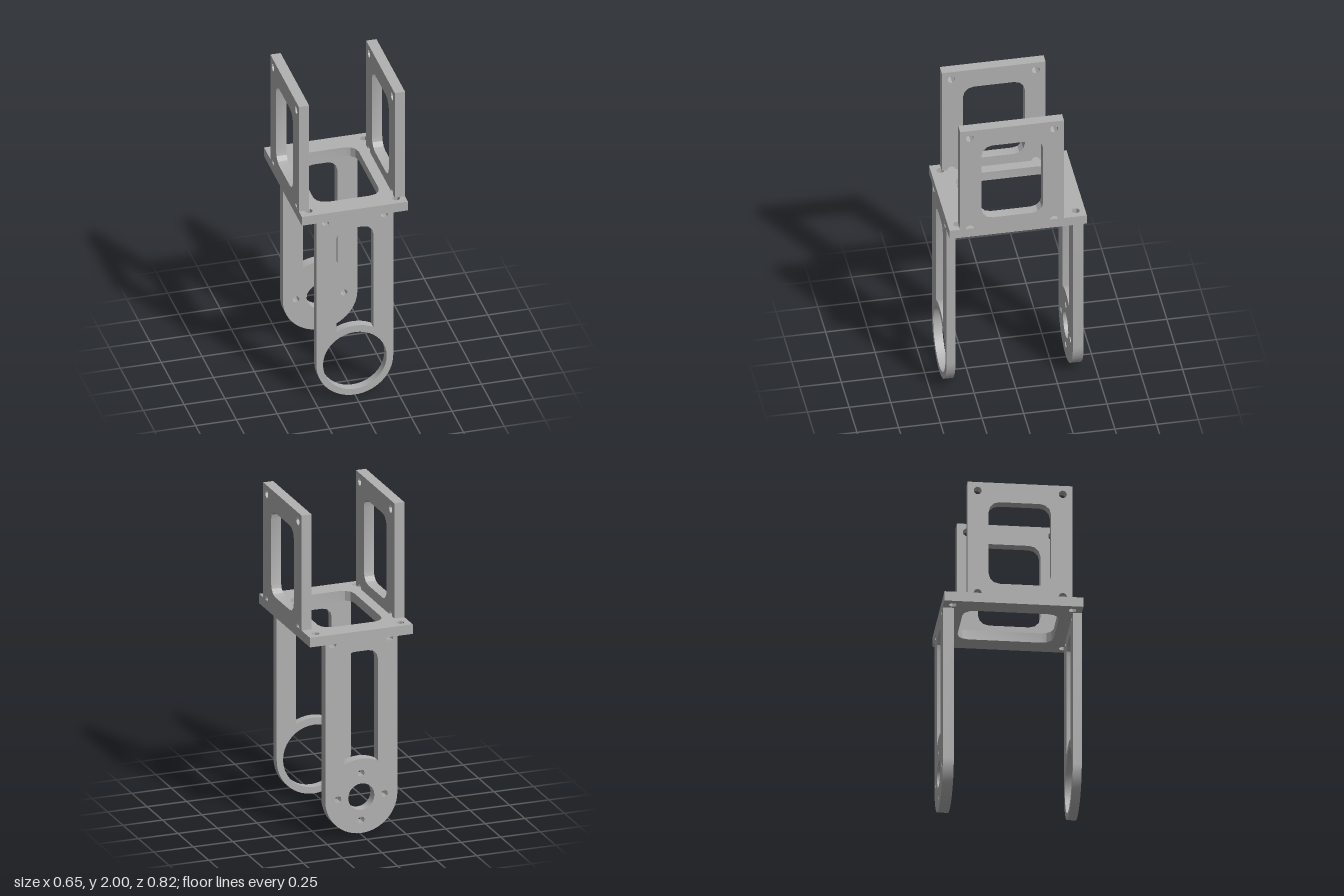
import * as THREE from 'three';
import { toCreasedNormals } from 'three/addons/utils/BufferGeometryUtils.js';

const PI = Math.PI;

// points along an arc, including both ends
function arc(cx, cy, r, a0, a1, n) {
  return Array.from({ length: n + 1 }, (_, i) => {
    const a = a0 + (a1 - a0) * i / n;
    return new THREE.Vector2(cx + r * Math.cos(a), cy + r * Math.sin(a));
  });
}
const circle = (cx, cy, r, n) => arc(cx, cy, r, 0, 2 * PI, n).slice(0, n);
const pt = (x, y) => new THREE.Vector2(x, y);

// rectangle with rounded corners
function roundRect(x0, y0, x1, y1, r) {
  return [
    ...arc(x1 - r, y1 - r, r, 0, PI / 2, 3),
    ...arc(x0 + r, y1 - r, r, PI / 2, PI, 3),
    ...arc(x0 + r, y0 + r, r, PI, 1.5 * PI, 3),
    ...arc(x1 - r, y0 + r, r, 1.5 * PI, 2 * PI, 3),
  ];
}

function plate(outline, holes, depth) {
  const shape = new THREE.Shape(outline);
  shape.holes = holes.map((h) => new THREE.Path(h));
  const geo = new THREE.ExtrudeGeometry(shape, { depth, bevelEnabled: false });
  return toCreasedNormals(geo, 0.45);
}

// hanging arm: rounded foot, long slot, half screw notches at the top edge
function arm(cy, r, slot, footHoles, depth) {
  const top = 1.22;
  const outline = [
    ...arc(0, cy, r, PI, 2 * PI, 28),
    pt(r, top),
    ...arc(0.18, top, 0.024, 0, -PI, 4),
    ...arc(-0.18, top, 0.024, 0, -PI, 4),
    pt(-r, top),
  ];
  const a = Math.acos(slot / 0.24);
  const window = [
    ...arc(0, 0.24, 0.24, PI - a, a, 8),
    ...arc(slot - 0.06, 1.095, 0.06, 0, PI / 2, 3),
    ...arc(-slot + 0.06, 1.095, 0.06, PI / 2, PI, 3),
  ];
  return plate(outline, [window, ...footHoles], depth);
}

export function createModel() {
  const group = new THREE.Group();
  const grey = new THREE.MeshStandardMaterial({ color: 0xb2b2b2 });
  grey.name = 'plain grey';

  const add = (name, geo, x, y, z) => {
    const mesh = new THREE.Mesh(geo, grey);
    mesh.name = name;
    mesh.position.set(x, y, z);
    group.add(mesh);
  };

  // horizontal plate with large window and corner screw holes
  const screws = [];
  for (const x of [-0.268, 0.268])
    for (const z of [-0.355, 0.355]) screws.push(circle(x, z, 0.025, 7));
  const base = plate(
    [pt(-0.325, -0.412), pt(0.325, -0.412), pt(0.325, 0.412), pt(-0.325, 0.412)],
    [roundRect(-0.2, -0.285, 0.2, 0.285, 0.07), ...screws], 0.06);
  base.rotateX(PI / 2);
  add('middlePlate', base, 0, 1.28, 0);

  // upright side plates, with half screw notches at the lower edge
  const side = plate(
    [
      pt(-0.275, 1.28),
      ...arc(-0.215, 1.28, 0.025, PI, 0, 4),
      ...arc(0.29, 1.28, 0.025, PI, 0, 4),
      pt(0.348, 1.28), pt(0.348, 2), pt(-0.275, 2),
    ],
    [
      roundRect(-0.15, 1.345, 0.22, 1.875, 0.065),
      circle(-0.215, 1.945, 0.025, 7),
      circle(0.29, 1.945, 0.025, 7),
    ], 0.063);
  side.rotateY(-PI / 2);
  add('leftUpright', side, 0.325, 0, 0);
  add('rightUpright', side, -0.262, 0, 0);

  // front arm ends in a wide ring
  add('frontArm', arm(0.24, 0.235, 0.113, [circle(0, 0.24, 0.195, 40)], 0.053), 0, 0, 0.359);

  // back arm has a hub hole with four screw holes around it
  const hub = [circle(0, 0.243, 0.083, 20)];
  for (let i = 0; i < 4; i++) {
    const a = i * PI / 2;
    hub.push(circle(0.147 * Math.cos(a), 0.243 + 0.147 * Math.sin(a), 0.021, 8));
  }
  add('backArm', arm(0.243, 0.228, 0.105, hub, 0.065), 0, 0, -0.411);

  return group;
}
